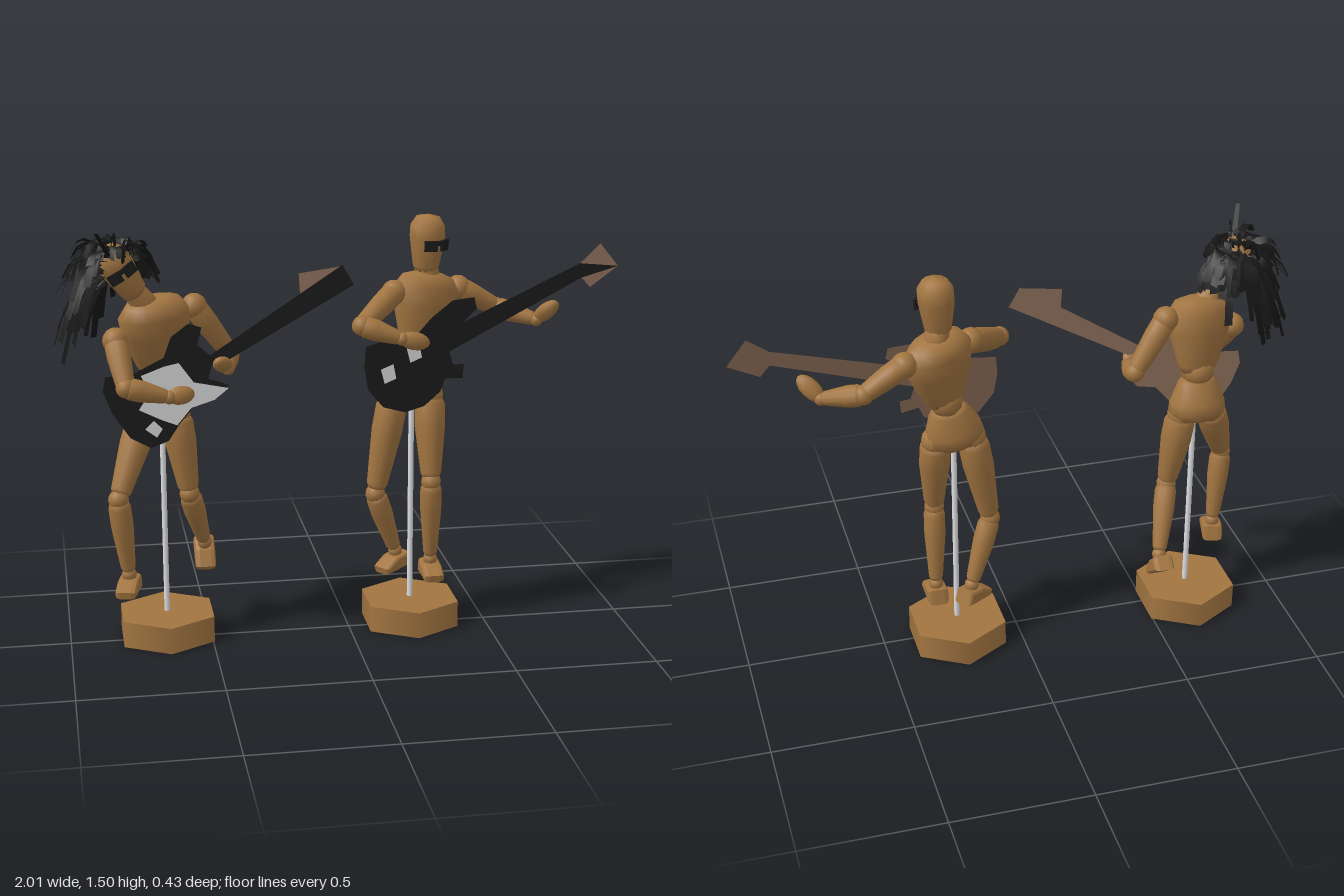
import * as THREE from 'three';
import { mergeGeometries } from 'three/addons/utils/BufferGeometryUtils.js';

const mat = (name, color, side = THREE.FrontSide) => {
  const m = new THREE.MeshStandardMaterial({ color, side });
  m.name = name;
  return m;
};
const V = (a) => new THREE.Vector3(...a);

export function createModel() {
  const wood = mat('wood', 0xa27541);
  const black = mat('black lacquer', 0x1b1b1b);
  const hairMat = mat('black hair', 0x161616, THREE.DoubleSide);
  const backMat = mat('bare guitar wood', 0x94745f);
  const white = mat('pale plastic', 0xd8d8d8);
  const steel = mat('steel', 0xe0e0e4);
  const root = new THREE.Group();

  const add = (parent, name, geo, material, pos = [0, 0, 0]) => {
    const m = new THREE.Mesh(geo, material);
    m.name = name;
    m.position.set(...pos);
    parent.add(m);
    return m;
  };
  const lathe = (pts, seg) => new THREE.LatheGeometry(pts.map((p) => new THREE.Vector2(...p)), seg);

  // Turned limb between two joints, slightly bulged
  const limb = (g, name, a, b, r1, r2) => {
    const A = V(a), d = V(b).sub(A), L = d.length();
    const geo = lathe([[0, 0], [r1 * 0.75, 0], [r1, L * 0.1], [r1, L * 0.35], [r2, L * 0.9], [r2 * 0.75, L * 0.95], [0, L * 0.95]], 12);
    add(g, name, geo, wood, a).quaternion.setFromUnitVectors(new THREE.Vector3(0, 1, 0), d.normalize());
  };
  const ball = (g, name, p, r) => add(g, name, new THREE.SphereGeometry(r, 12, 8), wood, p);

  // Orientation whose y is up and whose x is close to left
  const frame = (obj, up, left) => {
    const y = up.clone().normalize();
    const x = left.clone().addScaledVector(y, -left.dot(y)).normalize();
    obj.quaternion.setFromRotationMatrix(new THREE.Matrix4().makeBasis(x, y, x.clone().cross(y)));
  };

  const footShape = new THREE.Shape([[-0.04, 0.008], [0.07, 0.008], [0.072, 0.018], [0.025, 0.04], [-0.03, 0.044]].map((p) => new THREE.Vector2(...p)));
  const footGeo = new THREE.ExtrudeGeometry(footShape, { depth: 0.04, bevelSize: 0.01, bevelThickness: 0.017, bevelSegments: 2 });
  footGeo.translate(0, 0, -0.02).rotateY(-Math.PI / 2);

  // Jointed wooden figure on a stand
  const figure = (name, o) => {
    const g = new THREE.Group();
    g.name = name;
    root.add(g);
    add(g, 'base', new THREE.CylinderGeometry(0.185, 0.185, 0.095, 6), wood, [o.baseX, 0.0475, -0.025]);
    add(g, 'rod', new THREE.CylinderGeometry(0.01, 0.01, o.pelvis[1] - 0.09, 10), steel, [o.baseX, (o.pelvis[1] + 0.09) / 2, -0.025]);

    // Torso
    const [r, l] = o.arms.map((a) => V(a[0]));
    const mid = r.clone().add(l).multiplyScalar(0.5), left = l.clone().sub(r);
    const up = mid.clone().sub(V(o.waist)).normalize();
    const chestGeo = lathe([[0, -0.15], [0.06, -0.15], [0.08, -0.12], [0.12, 0], [0.128, 0.07], [0.1, 0.11], [0.05, 0.125], [0, 0.125]], 14).scale(1, 1, 0.66);
    const chest = add(g, 'chest', chestGeo, wood, mid.clone().addScaledVector(up, o.chestDrop).toArray());
    frame(chest, up, left);
    ball(g, 'waist', o.waist, 0.06);
    const pelvisGeo = lathe([[0, -0.08], [0.08, -0.075], [0.105, -0.045], [0.1, -0.01], [0.07, 0.065], [0.05, 0.08], [0, 0.08]], 14).scale(1, 1, 0.76);
    frame(add(g, 'pelvis', pelvisGeo, wood, o.pelvis), V(o.waist).sub(V(o.pelvis)), new THREE.Vector3(1, 0, 0));

    // Head with dark glasses
    const chin = V(o.chin), crown = V(o.crown), yaw = o.headYaw;
    limb(g, 'neck', mid.clone().addScaledVector(up, 0.03).toArray(), chin.clone().lerp(crown, 0.15).toArray(), 0.045, 0.04);
    const head = new THREE.Group();
    head.name = 'head';
    head.position.copy(chin).lerp(crown, 0.5);
    frame(head, crown.clone().sub(chin), new THREE.Vector3(Math.cos(yaw), 0, -Math.sin(yaw)));
    g.add(head);
    add(head, 'skull', lathe([[0, -0.1], [0.035, -0.1], [0.047, -0.08], [0.063, 0.02], [0.062, 0.06], [0.042, 0.092], [0, 0.102]], 10).scale(1, 1, 1.04), wood);
    for (const s of [-1, 1]) {
      const lens = add(head, 'glasses lens', new THREE.BoxGeometry(0.046, 0.038, 0.009), black, [s * 0.029, 0, 0.062]);
      lens.rotation.y = s * 0.4;
    }
    add(head, 'glasses bridge', new THREE.BoxGeometry(0.025, 0.016, 0.009), black, [0, 0.01, 0.069]);

    // Arms: shoulder, elbow, wrist, fingertips
    for (const [s, e, w, f] of o.arms) {
      ball(g, 'shoulder', s, 0.045);
      limb(g, 'upperArm', s, e, 0.041, 0.033);
      ball(g, 'elbow', e, 0.035);
      limb(g, 'forearm', e, w, 0.038, 0.025);
      ball(g, 'wrist', w, 0.024);
      const d = V(f).sub(V(w)), L = d.length();
      const hand = add(g, 'hand', new THREE.SphereGeometry(1, 10, 8).scale(0.032, L * 0.6, 0.022), wood, V(w).addScaledVector(d, 0.5).toArray());
      hand.quaternion.setFromUnitVectors(new THREE.Vector3(0, 1, 0), d.normalize());
    }
    // Legs: hip, knee, ankle, then foot yaw and pitch
    for (const [h, k, a, fy, fp] of o.legs) {
      ball(g, 'hip', h, 0.05);
      limb(g, 'thigh', h, k, 0.055, 0.037);
      ball(g, 'knee', k, 0.036);
      limb(g, 'shin', k, a, 0.039, 0.026);
      ball(g, 'ankle', a, 0.026);
      const foot = add(g, 'foot', footGeo, wood);
      foot.rotation.set(fp, fy, 0, 'YXZ');
      foot.position.copy(V([0, -0.063, 0]).applyEuler(foot.rotation).add(V(a)));
    }
    return head;
  };

  // Flat plate cut from an outline, laid on the guitar plane z(x, y)
  const plate = (pts, z, offset, flip) => {
    const geo = new THREE.ShapeGeometry(new THREE.Shape(pts.map((p) => new THREE.Vector2(...p))));
    const p = geo.attributes.position, ix = geo.index;
    for (let i = 0; i < p.count; i++) p.setZ(i, z(p.getX(i), p.getY(i)) + offset);
    if (flip) for (let i = 0; i < ix.count; i += 3) {
      const t = ix.getX(i);
      ix.setX(i, ix.getX(i + 1));
      ix.setX(i + 1, t);
    }
    geo.computeVertexNormals();
    return geo;
  };
  const guitar = (name, z, { body, neck, head, trim }) => {
    const g = new THREE.Group();
    g.name = name;
    root.add(g);
    for (const [part, pts] of [['body', body], ['neck', neck]]) {
      add(g, part, plate(pts, z, 0.004, false), black);
      add(g, part + 'Back', plate(pts, z, -0.004, true), backMat);
    }
    for (const pts of head) {
      add(g, 'headstock', plate(pts, z, 0.002, false), backMat);
      add(g, 'headstockBack', plate(pts, z, -0.004, true), backMat);
    }
    for (const pts of trim) add(g, 'trim', plate(pts, z, 0.008, false), white);
  };

  // Long-haired player
  const rockerHead = figure('leaningPlayer', {
    baseX: -0.655, pelvis: [-0.66, 0.885, -0.035], waist: [-0.66, 0.99, -0.025], chestDrop: -0.03,
    chin: [-0.725, 1.25, 0.05], crown: [-0.85, 1.445, 0.055], headYaw: 0.1,
    arms: [
      [[-0.81, 1.11, 0.05], [-0.785, 0.97, 0.16], [-0.64, 0.93, 0.15], [-0.56, 0.935, 0.13]],
      [[-0.535, 1.205, -0.02], [-0.415, 1.03, -0.055], [-0.43, 1.0, 0.06], [-0.47, 1.04, 0.11]],
    ],
    legs: [
      [[-0.72, 0.82, -0.02], [-0.82, 0.56, 0.1], [-0.79, 0.275, 0.07], -0.25, 0],
      [[-0.605, 0.82, -0.03], [-0.565, 0.53, -0.02], [-0.505, 0.305, -0.14], 0, 0.65],
    ],
  });
  // Upright player
  figure('uprightPlayer', {
    baseX: 0.23, pelvis: [0.235, 0.91, -0.035], waist: [0.26, 1.02, -0.05], chestDrop: -0.06,
    chin: [0.285, 1.295, -0.07], crown: [0.292, 1.487, -0.065], headYaw: 0.45,
    arms: [
      [[0.165, 1.225, -0.03], [0.025, 1.145, 0.12], [0.16, 1.1, 0.145], [0.25, 1.08, 0.14]],
      [[0.415, 1.215, -0.125], [0.56, 1.135, -0.145], [0.69, 1.1, -0.07], [0.75, 1.165, -0.03]],
    ],
    legs: [
      [[0.165, 0.85, -0.03], [0.1, 0.495, -0.02], [0.185, 0.255, -0.075], -0.95, 0.1],
      [[0.295, 0.85, -0.025], [0.293, 0.545, 0.03], [0.302, 0.24, -0.01], 0, 0],
    ],
  });

  // Guitars
  guitar('doubleHornGuitar', () => 0.072, {
    body: [[-0.85, 0.99], [-0.75, 1.0], [-0.65, 1.05], [-0.625, 1.12], [-0.565, 1.165], [-0.52, 1.15], [-0.535, 1.09], [-0.48, 1.04], [-0.5, 0.97], [-0.43, 0.945],
      [-0.47, 0.9], [-0.54, 0.885], [-0.6, 0.815], [-0.64, 0.755], [-0.7, 0.732], [-0.77, 0.77], [-0.83, 0.86], [-0.86, 0.94]],
    neck: [[-0.51, 1.04], [-0.47, 1.01], [0.005, 1.28], [-0.035, 1.35]],
    head: [[[-0.185, 1.325], [-0.18, 1.235], [-0.04, 1.345]]],
    trim: [
      [[-0.73, 0.99], [-0.65, 1.02], [-0.6, 1.03], [-0.55, 0.96], [-0.43, 0.935], [-0.48, 0.895], [-0.56, 0.87], [-0.61, 0.81], [-0.66, 0.83], [-0.74, 0.87], [-0.7, 0.93]],
      [[-0.72, 0.8], [-0.68, 0.77], [-0.66, 0.8], [-0.69, 0.83]],
    ],
  });
  guitar('singleHornGuitar', (x, y) => 0.12 - 0.2 * (x - 0.1) - 0.1 * (y - 0.9), {
    body: [[0.04, 1.07], [0.13, 1.09], [0.22, 1.09], [0.28, 1.15], [0.36, 1.205], [0.44, 1.21], [0.45, 1.17], [0.39, 1.12], [0.345, 1.09], [0.345, 1.03], [0.36, 0.98],
      [0.4, 0.98], [0.395, 0.93], [0.33, 0.935], [0.31, 0.89], [0.25, 0.845], [0.18, 0.83], [0.1, 0.855], [0.045, 0.92], [0.033, 1.0]],
    neck: [[0.33, 1.1], [0.34, 1.025], [0.85, 1.248], [0.995, 1.28], [0.845, 1.3]],
    head: [[[0.845, 1.298], [0.995, 1.28], [0.925, 1.365]], [[0.85, 1.25], [0.885, 1.212], [0.995, 1.28]]],
    trim: [[0.12, 0.97], [0.215, 1.035]].map(([x, y]) => [[x - 0.028, y + 0.018], [x - 0.015, y - 0.033], [x + 0.028, y - 0.018], [x + 0.018, y + 0.033]]),
  });

  // Hair: broad flat locks rooted on the scalp, thrown outward and falling down
  let seed = 7;
  const rnd = () => (seed = (seed * 16807) % 2147483647) / 2147483647;
  const face = V([0.35, -0.15, 0.92]).normalize();
  const crownDir = V([-0.54, 0.84, 0]);
  const locks = [];
  const lock = (d, length, lift, fall, width) => {
    const start = rockerHead.position.clone().addScaledVector(crownDir, 0.025).addScaledVector(d, 0.066);
    const dir = d.clone().add(V([-0.12, lift, 0])).normalize();
    const side = dir.clone().cross(V([rnd() - 0.5, 1, rnd() - 0.5])).normalize().multiplyScalar(width);
    const pos = [], idx = [];
    for (let i = 0; i <= 4; i++) {
      const t = i / 4;
      const p = start.clone().addScaledVector(dir, length * (t - 0.25 * t * t)).add(V([0, -length * fall * t * t, 0]));
      const s = side.clone().multiplyScalar(1 - 0.3 * t);
      pos.push(...p.clone().sub(s).toArray(), ...p.add(s).toArray());
      if (i) idx.push(2 * i - 2, 2 * i - 1, 2 * i, 2 * i - 1, 2 * i + 1, 2 * i);
    }
    const geo = new THREE.BufferGeometry();
    geo.setAttribute('position', new THREE.Float32BufferAttribute(pos, 3));
    geo.setIndex(idx);
    geo.computeVertexNormals();
    locks.push(geo);
  };
  while (locks.length < 210) {
    const d = V([rnd() * 2 - 1, rnd() * 2 - 1, rnd() * 2 - 1]).normalize();
    if (d.dot(face) > 0.42 || d.dot(crownDir) < -0.4) continue;
    const reach = d.x > 0.2 ? (d.z < -0.3 ? 0.85 : 0.5) : 1;
    lock(d, (0.08 + rnd() * 0.14) * reach, rnd() * 0.35, 0.5 + rnd() * 0.6, 0.013 + rnd() * 0.009);
  }
  // Fringe, and one lock flying up
  for (let i = 0; i < 8; i++) lock(V([-0.8 + i * 0.13, 0.75, 0.5]).normalize(), 0.08 + rnd() * 0.07, 0.1, 0.8, 0.013);
  lock(V([-0.3, 0.5, 0.85]).normalize(), 0.2, 0.4, 0, 0.01);
  add(root, 'hair', mergeGeometries(locks), hairMat);

  return root;
}
